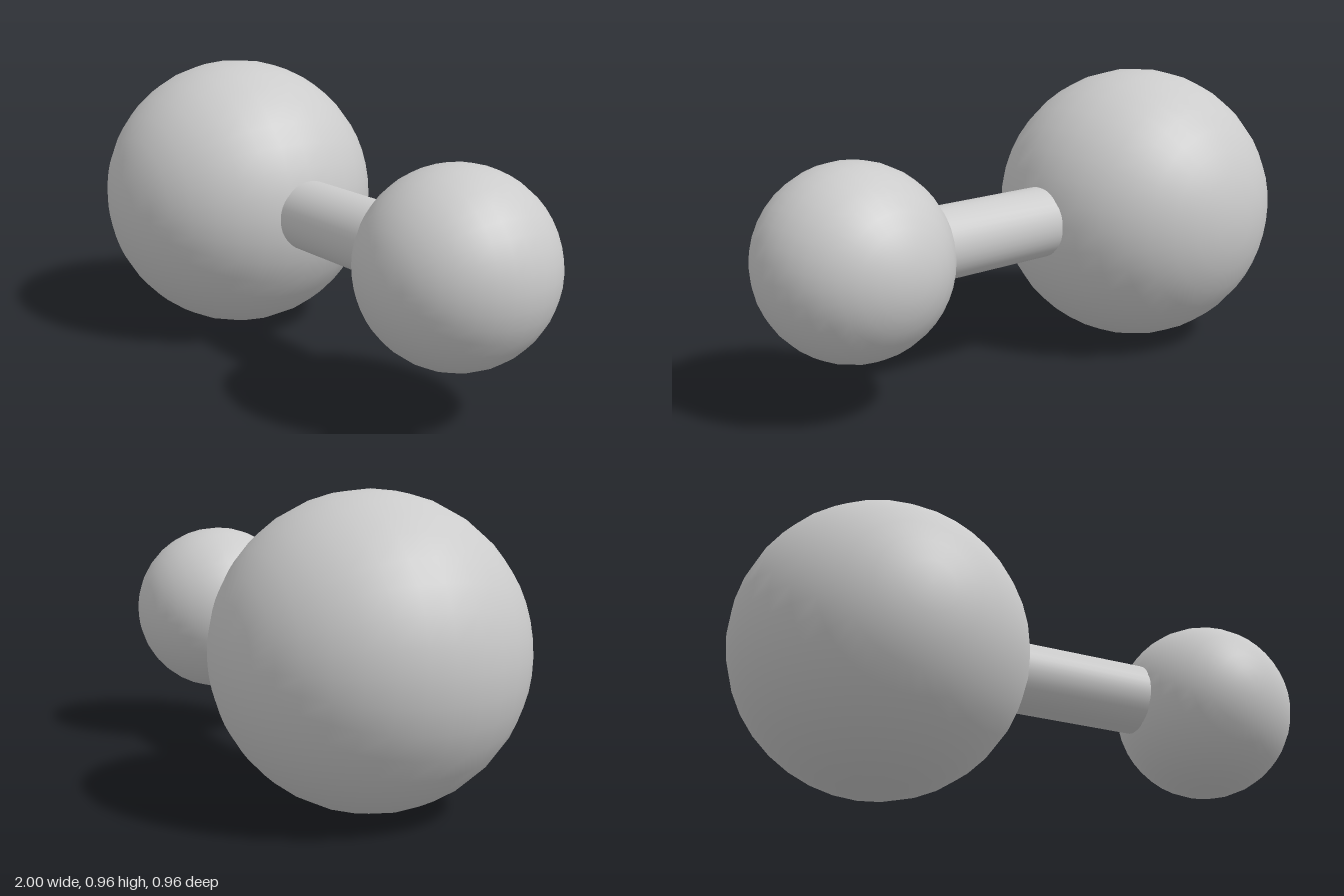
import * as THREE from 'three';

const AXIS_Y = 0.483;

export function createModel() {
  const group = new THREE.Group();
  const material = new THREE.MeshStandardMaterial({ color: 0xcccccc });

  const add = (name, geometry, x) => {
    const mesh = new THREE.Mesh(geometry, material);
    mesh.name = name;
    mesh.position.set(x, AXIS_Y, 0);
    group.add(mesh);
  };

  // Balls, with their poles on the z axis
  const ball = (radius) => new THREE.SphereGeometry(radius, 36, 18).rotateX(Math.PI / 2);
  add('largeBall', ball(0.482), -0.518);
  add('smallBall', ball(0.308), 0.692);

  // Connecting rod, its ends sunk into both balls
  const start = -0.1, end = 0.46;
  const rod = new THREE.CylinderGeometry(0.12, 0.12, end - start, 36).rotateZ(Math.PI / 2);
  add('connectingRod', rod, (start + end) / 2);

  return group;
}
